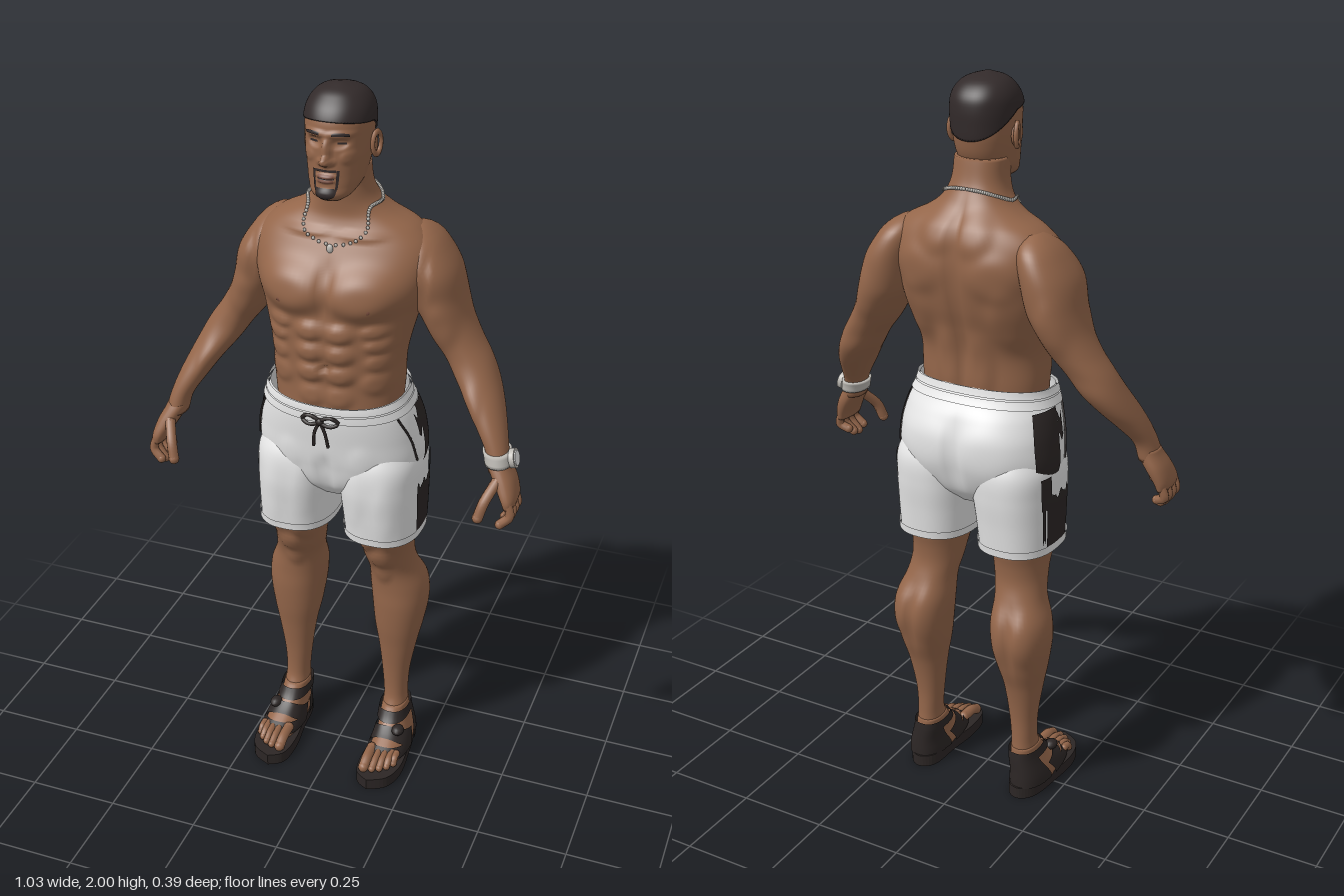
import * as THREE from 'three';
import { mergeGeometries } from 'three/addons/utils/BufferGeometryUtils.js';

const mat = (name, color) => {
  const m = new THREE.MeshStandardMaterial({ color, side: THREE.DoubleSide });
  m.name = name;
  return m;
};
const PI = Math.PI, TAU = PI * 2;

// Surface through horizontal oval sections [y, xMin, xMax, zBack, zFront].
// Bumps [x, y, rx, ry, height, side] swell (or groove) the front (1) or back (-1), alike at +x and -x.
function surface(rows, power = 2, bumps = []) {
  const tangent = (i, k) => {
    const a = rows[Math.max(i - 1, 0)], b = rows[Math.min(i + 1, rows.length - 1)];
    return (b[k] - a[k]) / (b[0] - a[0]);
  };
  const section = (y) => {
    let i = 0;
    while (i < rows.length - 2 && y > rows[i + 1][0]) i++;
    const h = rows[i + 1][0] - rows[i][0], t = Math.min(1, Math.max(0, (y - rows[i][0]) / h));
    const t2 = t * t, t3 = t2 * t;
    return [1, 2, 3, 4].map((k) => (2 * t3 - 3 * t2 + 1) * rows[i][k] + (t3 - 2 * t2 + t) * h * tangent(i, k)
      + (3 * t2 - 2 * t3) * rows[i + 1][k] + (t3 - t2) * h * tangent(i + 1, k));
  };
  const round = (v) => Math.sign(v) * Math.abs(v) ** (2 / power);
  const at = (y, angle, off = 0) => {
    const [x0, x1, z0, z1] = section(y), s = Math.sin(angle);
    const x = (x0 + x1) / 2 + ((x1 - x0) / 2 + off) * round(Math.cos(angle));
    let z = (z0 + z1) / 2 + ((z1 - z0) / 2 + off) * round(s);
    for (const [bx, by, rx, ry, height, side = 1] of bumps) {
      if (s * side <= 0) continue;
      const q = ((Math.abs(x) - bx) / rx) ** 2 + ((y - by) / ry) ** 2;
      z += side * height * Math.exp(-q * q) * Math.min(1, Math.abs(s) * 3);
    }
    return new THREE.Vector3(x, y, z);
  };
  return { at, low: rows[0][0], high: rows[rows.length - 1][0] };
}

// Grid over a surface; limits may depend on the angle. A full turn is joined and may be capped.
function sheet(s, { y0 = s.low, y1 = s.high, a0 = 0, a1 = TAU, off = 0, nu = 48, nv = 48, cap = false } = {}) {
  const full = a1 - a0 > TAU - 0.001, cols = full ? nu : nu + 1, pos = [], index = [];
  const val = (v, a) => (typeof v === 'function' ? v(a) : v);
  for (let j = 0; j <= nv; j++) for (let i = 0; i < cols; i++) {
    const a = a0 + (a1 - a0) * i / nu, lo = val(y0, a), hi = val(y1, a);
    pos.push(...s.at(lo + (hi - lo) * j / nv, a, off).toArray());
  }
  for (let j = 0; j < nv; j++) for (let i = 0; i < nu; i++) {
    const a = j * cols + i, b = j * cols + (i + 1) % cols, c = b + cols, d = a + cols;
    index.push(a, d, b, b, d, c);
  }
  if (cap) for (const j of [0, nv]) {
    const mid = new THREE.Vector3(), n = pos.length / 3;
    for (let i = 0; i < cols; i++) mid.add(new THREE.Vector3().fromArray(pos, (j * cols + i) * 3));
    pos.push(...mid.divideScalar(cols).toArray());
    for (let i = 0; i < cols; i++) {
      const a = j * cols + i, b = j * cols + (i + 1) % cols;
      index.push(n, ...(j ? [b, a] : [a, b]));
    }
  }
  const g = new THREE.BufferGeometry();
  g.setAttribute('position', new THREE.Float32BufferAttribute(pos, 3));
  g.setIndex(index);
  g.computeVertexNormals();
  return g;
}

const curve = (pts, closed) => new THREE.CatmullRomCurve3(pts.map((p) => new THREE.Vector3(...p)), closed);
const tube = (pts, r, closed = false) => new THREE.TubeGeometry(curve(pts, closed), 14, r, 8, closed);
const ball = (x, y, z, rx, ry, rz) => new THREE.SphereGeometry(1, 12, 8).scale(rx, ry, rz).translate(x, y, z);
// Finger or toe: a bent tube with round ends
const digit = (pts, r) => mergeGeometries([tube(pts, r), ball(...pts[0], r, r, r), ball(...pts[pts.length - 1], r, r, r)]);

function mirrored(geo) {
  const g = geo.clone().scale(-1, 1, 1);
  const ix = g.index ? Array.from(g.index.array) : Array.from({ length: g.attributes.position.count }, (_, i) => i);
  for (let i = 0; i < ix.length; i += 3) [ix[i], ix[i + 1]] = [ix[i + 1], ix[i]];
  g.setIndex(ix);
  return g;
}

export function createModel() {
  const model = new THREE.Group();
  model.name = 'standingMan';
  const skin = mat('skin', 0x94664a), hair = mat('hair', 0x322a2a), cloth = mat('whiteCloth', 0xe6e6e6);
  const dark = mat('darkRubber', 0x2c2625), silver = mat('silver', 0xbdbab4), lip = mat('lip', 0x7d5040);
  const add = (name, geo, m) => {
    const mesh = new THREE.Mesh(geo, m);
    mesh.name = name;
    model.add(mesh);
  };
  const both = (name, geo, m) => { add(name + 'Left', geo, m); add(name + 'Right', mirrored(geo), m); };
  const sym = (rows) => rows.map(([y, w, b, f]) => [y, -w, w, b, f]);

  // Torso and neck
  const torso = surface(sym([
    [1.12, .165, -.12, .11], [1.22, .174, -.122, .108], [1.3, .177, -.125, .114], [1.37, .19, -.145, .118],
    [1.43, .206, -.165, .116], [1.49, .225, -.178, .112], [1.55, .235, -.183, .094], [1.6, .225, -.178, .066],
    [1.64, .187, -.163, .042], [1.67, .13, -.143, .03], [1.7, .092, -.125, .03], [1.74, .073, -.105, .035], [1.8, .068, -.092, .04],
  ]), 2.35, [
    [.095, 1.495, .092, .062, .028], [0, 1.5, .012, .07, -.008],
    [.04, 1.39, .034, .026, .015], [.04, 1.33, .034, .026, .015], [.04, 1.27, .034, .026, .014], [.036, 1.205, .034, .03, .01],
    [.125, 1.4, .03, .018, .01], [.135, 1.36, .03, .018, .01], [.135, 1.31, .03, .022, .009], [.13, 1.25, .035, .03, .009],
    [0, 1.285, .008, .008, -.01], [.07, 1.63, .06, .01, .007],
    [0, 1.44, .018, .22, -.013, -1], [.045, 1.27, .035, .09, .012, -1], [.11, 1.53, .07, .06, .012, -1],
    [.14, 1.41, .055, .08, .012, -1], [.05, 1.63, .045, .05, .01, -1],
  ]);
  add('torso', sheet(torso, { nu: 104, nv: 96, cap: true }), skin);
  both('nipple', ball(.115, 1.468, .122, .009, .009, .004), lip);

  // Head with brow, nose, lips and chin
  const head = surface(sym([
    [1.73, .028, .035, .085], [1.745, .05, 0, .1], [1.77, .065, -.06, .1], [1.8, .072, -.085, .098], [1.84, .078, -.098, .097],
    [1.88, .081, -.102, .095], [1.92, .082, -.103, .093], [1.95, .077, -.097, .08], [1.975, .062, -.077, .058],
    [1.99, .041, -.05, .037], [2, .006, -.008, .006],
  ]), 2.2, [
    [0, 1.858, .012, .034, .015], [0, 1.836, .013, .013, .014], [.013, 1.832, .009, .009, .008],
    [.032, 1.878, .019, .012, -.009], [.03, 1.9, .034, .009, .006], [.052, 1.843, .018, .016, .005],
    [0, 1.797, .025, .005, .007], [0, 1.786, .022, .006, .007], [0, 1.75, .026, .014, .006],
  ]);
  add('head', sheet(head, { nu: 104, nv: 76, y1: 1.975, cap: true }), skin);
  const hairline = (a) => 1.915 + Math.sin(a) * (Math.sin(a) > 0 ? .015 : .07);
  add('hair', sheet(head, { nu: 72, nv: 24, y0: hairline, y1: 2, off: .004, cap: true }), hair);
  const onFace = (y0, y1, a0, a1, off = .0025) => sheet(head, { y0, y1, a0: PI / 2 + a0, a1: PI / 2 + a1, off, nu: 20, nv: 6 });
  add('lips', onFace(1.78, 1.802, -.25, .25, .001), lip);
  add('mouthLine', onFace(1.79, 1.793, -.26, .26, .002), hair);
  add('moustache', onFace(1.808, 1.814, -.32, .32), hair);
  add('goatee', onFace((a) => 1.74 + .06 * (a - PI / 2) ** 2, 1.768, -.4, .4), hair);
  both('goateeSide', onFace(1.765, 1.813, -.42, -.33), hair);
  both('eyebrow', onFace((a) => 1.899 - .02 * (a - PI / 2 + .35) ** 2, (a) => 1.907 - .04 * (a - PI / 2 + .35) ** 2, -.68, -.16), hair);
  both('eye', onFace(1.8755, 1.8805, -.56, -.28, .002), hair);
  both('ear', mergeGeometries([
    ball(.084, 1.852, -.012, .008, .026, .017),
    new THREE.TorusGeometry(.02, .006, 8, 20).scale(.85, 1.4, 1).rotateY(PI / 2 - .3).translate(.09, 1.855, -.014),
  ]), skin);

  // Bead necklace lying on the neck and chest
  const beads = [];
  for (let i = 0; i < 90; i++) {
    const a = TAU * i / 90, s = Math.sin(a);
    const p = torso.at(1.7 - .092 * Math.max(0, s) ** 6 + .03 * Math.max(0, -s), a, .004);
    beads.push(new THREE.SphereGeometry(.0048, 6, 5).translate(p.x, p.y, p.z));
  }
  beads.push(ball(0, 1.6, .072, .009, .012, .006));
  add('necklace', mergeGeometries(beads), silver);

  // Arms
  const arm = surface([
    [1.05, .425, .482, .005, .088], [1.1, .412, .471, -.005, .077], [1.15, .38, .456, -.045, .064], [1.2, .345, .437, -.09, .045],
    [1.25, .305, .415, -.122, .022], [1.3, .27, .39, -.135, .003], [1.35, .23, .357, -.152, 0], [1.4, .2, .33, -.168, .006],
    [1.45, .175, .313, -.18, .018], [1.53, .155, .293, -.184, .032], [1.59, .145, .256, -.17, .008], [1.62, .15, .228, -.145, -.025], [1.637, .165, .2, -.11, -.06],
  ], 2.15, [[.27, 1.4, .04, .06, .009], [.36, 1.2, .03, .05, .007], [.27, 1.43, .04, .07, .008, -1], [.23, 1.53, .012, .06, -.005]]);
  both('arm', sheet(arm, { nv: 56, cap: true }), skin);

  // Hands
  const palm = surface([
    [.968, .478, .507, .018, .116], [.99, .468, .511, .012, .118], [1.03, .444, .5, .004, .104], [1.065, .424, .482, .004, .088], [1.08, .42, .476, .004, .08],
  ], 2.4);
  both('palm', sheet(palm, { nu: 32, nv: 16, cap: true }), skin);
  [.03, .055, .08, .104].forEach((z, i) => {
    const tip = .915 + [.022, .006, 0, .01][i];
    both('finger' + (i + 1), digit([[.493, .985, z], [.501, .95, z + .004], [.478, tip, z + .01]], .0125), skin);
  });
  both('thumb', digit([[.458, 1.035, .088], [.437, .99, .128], [.426, .95, .142]], .0145), skin);

  // Watch on the left wrist
  add('watchBand', sheet(arm, { y0: 1.068, y1: 1.1, off: .007, nu: 40, nv: 4, cap: true }), silver);
  add('watchCase', new THREE.CylinderGeometry(.026, .026, .014, 24).rotateZ(PI / 2 + .25).translate(.487, 1.084, .04), silver);
  add('watchFace', new THREE.CylinderGeometry(.02, .02, .004, 24).rotateZ(PI / 2 + .25).translate(.495, 1.086, .04), cloth);

  // Legs
  const leg = surface([
    [.06, .118, .192, -.105, .01], [.13, .118, .19, -.108, 0], [.17, .12, .186, -.105, -.018], [.25, .113, .19, -.108, -.02],
    [.35, .1, .207, -.127, -.01], [.42, .086, .222, -.152, 0], [.5, .076, .234, -.17, .006], [.56, .071, .23, -.165, .006],
    [.62, .071, .208, -.14, .012], [.67, .062, .2, -.124, .032], [.72, .055, .2, -.125, .054], [.77, .048, .205, -.135, .076], [.9, .03, .21, -.14, .09],
  ], 2.15, [
    [.13, .685, .034, .032, .012], [.085, .745, .03, .035, .01], [.175, .76, .03, .05, .007], [.13, .62, .022, .025, .007],
    [.105, .52, .034, .09, .009, -1], [.195, .53, .03, .08, .008, -1], [.152, .5, .008, .1, -.005, -1],
  ]);
  both('leg', sheet(leg, { nv: 68, cap: true }), skin);

  // Feet and toes
  const foot = surface([
    [.03, .113, .217, -.113, .135], [.05, .113, .216, -.113, .12], [.07, .117, .21, -.112, .088], [.09, .119, .202, -.111, .05],
    [.115, .118, .193, -.11, .018], [.15, .119, .188, -.107, -.008],
  ], 2.4);
  both('foot', sheet(foot, { nu: 40, nv: 16, cap: true }), skin);
  [.13, .155, .174, .191, .205].forEach((x, i) => {
    const end = .172 - .002 * i - .0025 * i * i, r = i ? .0105 : .0155;
    both('toe' + (i + 1), digit([[x, .06, .085], [x, .058, (.085 + end) / 2], [x, .046, end - r]], r), skin);
  });

  // Sandals
  const outline = [[.152, .195], [.203, .165], [.224, .1], [.217, 0], [.202, -.09], [.163, -.125], [.122, -.095], [.113, 0], [.103, .09], [.112, .165]];
  const sole = new THREE.Shape(new THREE.SplineCurve([...outline, outline[0]].map(([x, z]) => new THREE.Vector2(x, -z))).getPoints(60));
  both('sandalSole', new THREE.ExtrudeGeometry(sole, { depth: .034, bevelEnabled: false }).rotateX(-PI / 2), dark);
  const strap = (name, y0, y1, a0 = 0, a1 = TAU) => both(name, sheet(foot, { y0, y1, a0, a1, off: .007, nu: 32, nv: 6 }), dark);
  strap('toeStrap', (a) => .034 + .018 * Math.sin(a), (a) => .06 + .014 * Math.sin(a), -.05, PI + .05);
  strap('instepStrap', (a) => .05 + .036 * Math.sin(a), (a) => .08 + .028 * Math.sin(a), -.05, PI + .05);
  strap('ankleStrap', .112, .14);
  strap('heelCup', .032, .118, PI + .45, TAU - .45);
  strap('sideStrap', .034, .125, -.5, -.2);
  strap('innerSideStrap', .034, .125, PI + .2, PI + .5);
  both('strapBuckle', ball(.19, .1, .03, .018, .014, .022), dark);

  // Shorts
  const hips = surface(sym([
    [.88, .1, -.1, .05], [.93, .19, -.155, .1], [1, .225, -.182, .121], [1.08, .221, -.188, .132], [1.14, .207, -.172, .138],
    [1.18, .191, -.15, .137], [1.2, .184, -.14, .133], [1.225, .18, -.133, .127],
  ]), 2.3, [[.095, 1.05, .085, .085, .009, -1], [0, 1.03, .016, .1, -.012, -1], [0, .97, .02, .06, -.012], [.1, 1.02, .03, .05, .004]]);
  const shortLeg = surface([
    [.77, .02, .226, -.157, .098], [.85, .012, .228, -.166, .108], [.93, .004, .228, -.176, .117], [1, .003, .224, -.176, .113], [1.06, .03, .195, -.15, .085],
  ], 2.4, [[.07, .9, .03, .08, .004], [.16, .87, .03, .09, .004]]);
  const waist = (y) => (a) => y - .016 * Math.sin(a);
  add('shortsHips', sheet(hips, { nu: 88, nv: 44, y1: waist(1.205) }), cloth);
  both('shortsLeg', sheet(shortLeg, { nu: 64, nv: 28 }), cloth);
  both('shortsHem', sheet(shortLeg, { y0: .768, y1: .79, off: .004, nu: 64, nv: 3 }), cloth);
  add('waistbandTop', sheet(hips, { y0: waist(1.187), y1: waist(1.207), off: .007, nu: 88, nv: 4 }), cloth);
  add('waistbandBottom', sheet(hips, { y0: waist(1.162), y1: waist(1.183), off: .006, nu: 88, nv: 4 }), cloth);

  // Ragged dark side panels
  const ragged = (y, k) => (a) => y + .008 * Math.sin(a * 31 + k) + .005 * Math.sin(a * 57);
  const panel = (name, s, y0, y1, a0, a1) => both(name, sheet(s, { y0, y1, a0, a1, off: .004, nu: 20, nv: 12 }), dark);
  panel('upperSidePanel', hips, .985, 1.16, -.5, .02);
  panel('upperFrontPanel', hips, ragged(1.08, 1), ragged(1.14, 2), .02, .14);
  panel('middleSidePanel', shortLeg, .9, .99, -.48, -.2);
  panel('lowerSidePanel', shortLeg, .79, ragged(.93, 0), -.34, .3);
  panel('lowerBackPanel', shortLeg, ragged(.8, 2), .91, -.46, -.38);

  // Pocket piping
  const piping = [[.5, 1.15], [.36, 1.08], [.25, 1.01]].map(([a, y]) => hips.at(y, a, .003).toArray());
  both('pocketPiping', tube(piping, .003), dark);

  // Drawstring bow
  both('bowLoop', tube([[0, 1.152, .15], [.03, 1.168, .152], [.05, 1.152, .145], [.028, 1.142, .153]], .005, true), dark);
  both('bowEnd', tube([[0, 1.152, .15], [.014, 1.12, .15], [.02, 1.075, .142]], .0045), dark);
  add('bowKnot', ball(0, 1.152, .15, .011, .01, .009), dark);

  return model;
}
